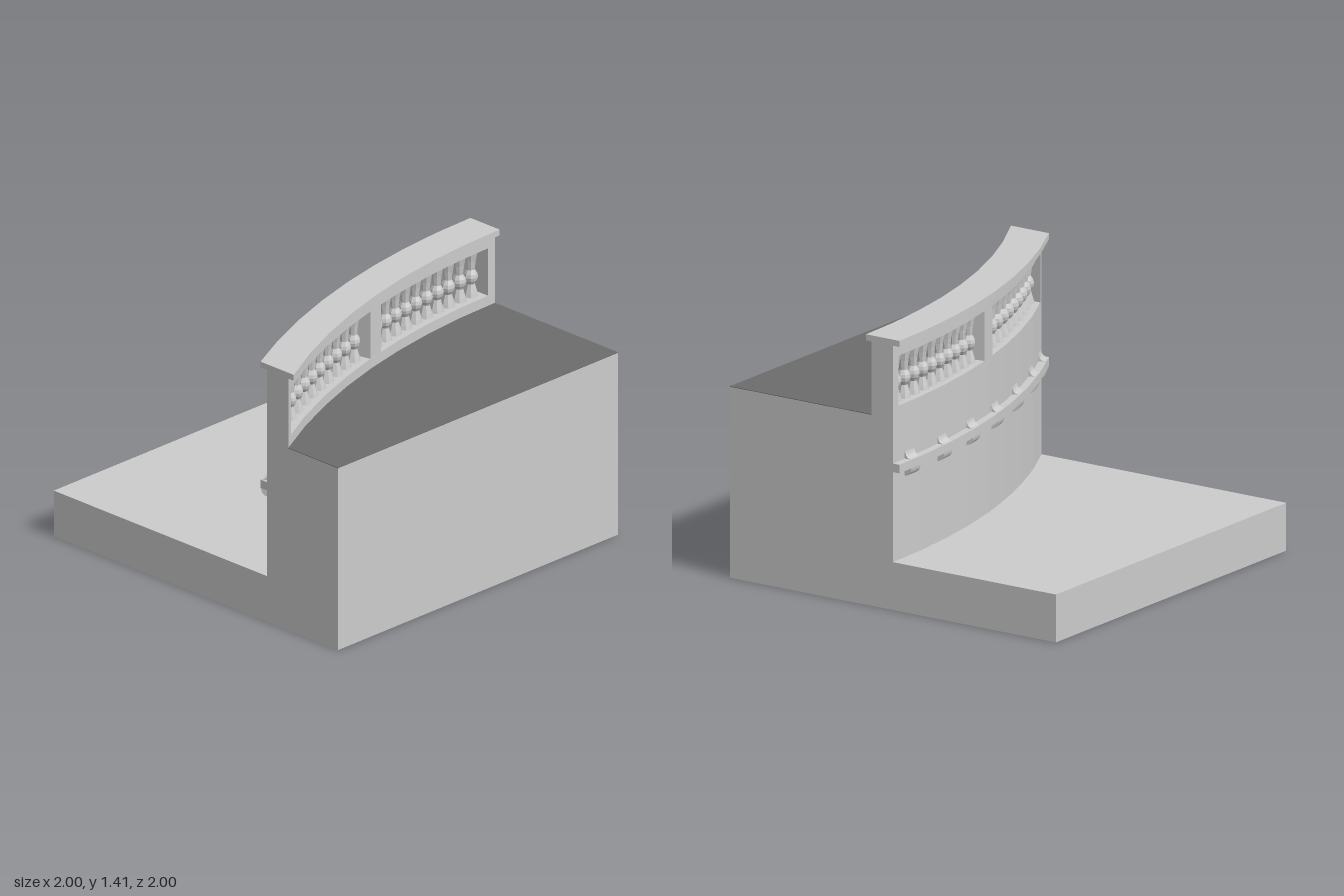
import * as THREE from 'three';

const R = 4.25;                       // radius of the wall's outer face, centred on (R, -1)
const stone = new THREE.MeshStandardMaterial({ color: 0xcccccc, flatShading: true });
const ground = new THREE.MeshStandardMaterial({ color: 0x6c6c6c, flatShading: true });

// x of the arc lying a distance d behind the outer face
const arcX = (z, d) => R - Math.sqrt((R - d) ** 2 - (z + 1) ** 2);

// points along an arc from z0 to z1, with facet joints every 0.25
function arc(d, z0, z1) {
  const zs = [z0];
  for (let i = -4; i <= 4; i++) {
    const z = i * 0.25;
    if (z > z0 + 0.01 && z < z1 - 0.01) zs.push(z);
  }
  zs.push(z1);
  return zs.map(z => new THREE.Vector2(arcX(z, d), -z));
}

// vertical prism on a plan outline
function prism(name, outline, y0, y1, material = stone) {
  const geo = new THREE.ExtrudeGeometry(new THREE.Shape(outline), { depth: y1 - y0, bevelEnabled: false });
  geo.rotateX(-Math.PI / 2);
  geo.translate(0, y0, 0);
  const mesh = new THREE.Mesh(geo, material);
  mesh.name = name;
  return mesh;
}

// curved block between two arcs; each arc has its own z limits
function curved(name, dOut, dIn, y0, y1, zOut = [-1, 1], zIn = zOut) {
  return prism(name, [...arc(dOut, ...zOut), ...arc(dIn, ...zIn).reverse()], y0, y1);
}

// place an object at distance t along the wall, its +x pointing outward
function placeOnWall(obj, t, d) {
  const a = Math.asin(t / R), r = R - d;
  obj.position.set(R - r * Math.cos(a), 0, -1 + r * Math.sin(a));
  obj.rotation.y = Math.PI + a;
  return obj;
}

export function createModel() {
  const model = new THREE.Group();
  const back = 0.132;

  // lower floor
  const base = new THREE.Mesh(new THREE.BoxGeometry(2, 0.25, 2), stone);
  base.name = 'lowerFloor';
  base.position.y = 0.125;
  model.add(base);

  // raised terrace behind the wall, with its dark paving
  const terrace = [...arc(back, -1, 1), new THREE.Vector2(1, -1), new THREE.Vector2(1, 1)];
  model.add(prism('terrace', terrace, 0.25, 0.997));
  model.add(prism('terracePaving', terrace, 0.997, 1, ground));

  // retaining wall, parapet piers, top rail and coping
  model.add(curved('retainingWall', 0, back, 0.25, 1.055));
  model.add(curved('backPier', 0, back, 1.055, 1.315, [-1, -0.95]));
  model.add(curved('middlePier', 0, back, 1.055, 1.315, [-0.05, 0.05], [-0.08, 0.017]));
  model.add(curved('frontPier', 0, back, 1.055, 1.315, [0.96, 1]));
  model.add(curved('topRail', 0, back, 1.315, 1.38));
  model.add(curved('coping', -0.04, 0.165, 1.38, 1.412));

  // balusters in the two openings
  const profile = [[0, 1.055], [0.039, 1.055], [0.034, 1.075], [0.02, 1.122], [0.033, 1.142], [0.037, 1.16],
    [0.033, 1.178], [0.02, 1.2], [0.026, 1.25], [0.036, 1.3], [0.037, 1.315], [0, 1.315]]
    .map(p => new THREE.Vector2(...p));
  const balusterGeo = new THREE.LatheGeometry(profile, 8);
  const balusters = new THREE.Group();
  balusters.name = 'balusters';
  for (const [first, last] of [[0.107, 0.882], [1.091, 1.914]]) {
    for (let i = 0; i < 10; i++) {
      const mesh = new THREE.Mesh(balusterGeo, stone);
      mesh.name = 'baluster';
      const t = (first + (last - first) * i / 9) * R / (R - 0.066);
      balusters.add(placeOnWall(mesh, t, 0.066));
    }
  }
  model.add(balusters);

  // string course with coved brackets above and below
  model.add(curved('stringCourse', -0.04, 0.02, 0.72, 0.765));
  const s = new THREE.Shape();
  s.moveTo(-0.02, 0.675);
  s.lineTo(0, 0.675);
  s.quadraticCurveTo(0.035, 0.68, 0.038, 0.72);
  s.lineTo(0.038, 0.765);
  s.quadraticCurveTo(0.006, 0.765, 0, 0.8);
  s.lineTo(-0.02, 0.8);
  const bracketGeo = new THREE.ExtrudeGeometry(s, { depth: 0.085, bevelEnabled: false, curveSegments: 6 });
  bracketGeo.translate(0, 0, -0.0425);
  for (let i = 0; i < 7; i++) {
    const bracket = new THREE.Mesh(bracketGeo, stone);
    bracket.name = 'bracket';
    model.add(placeOnWall(bracket, Math.min(0.15 + 0.31 * i, 1.943), 0));
  }
  return model;
}
